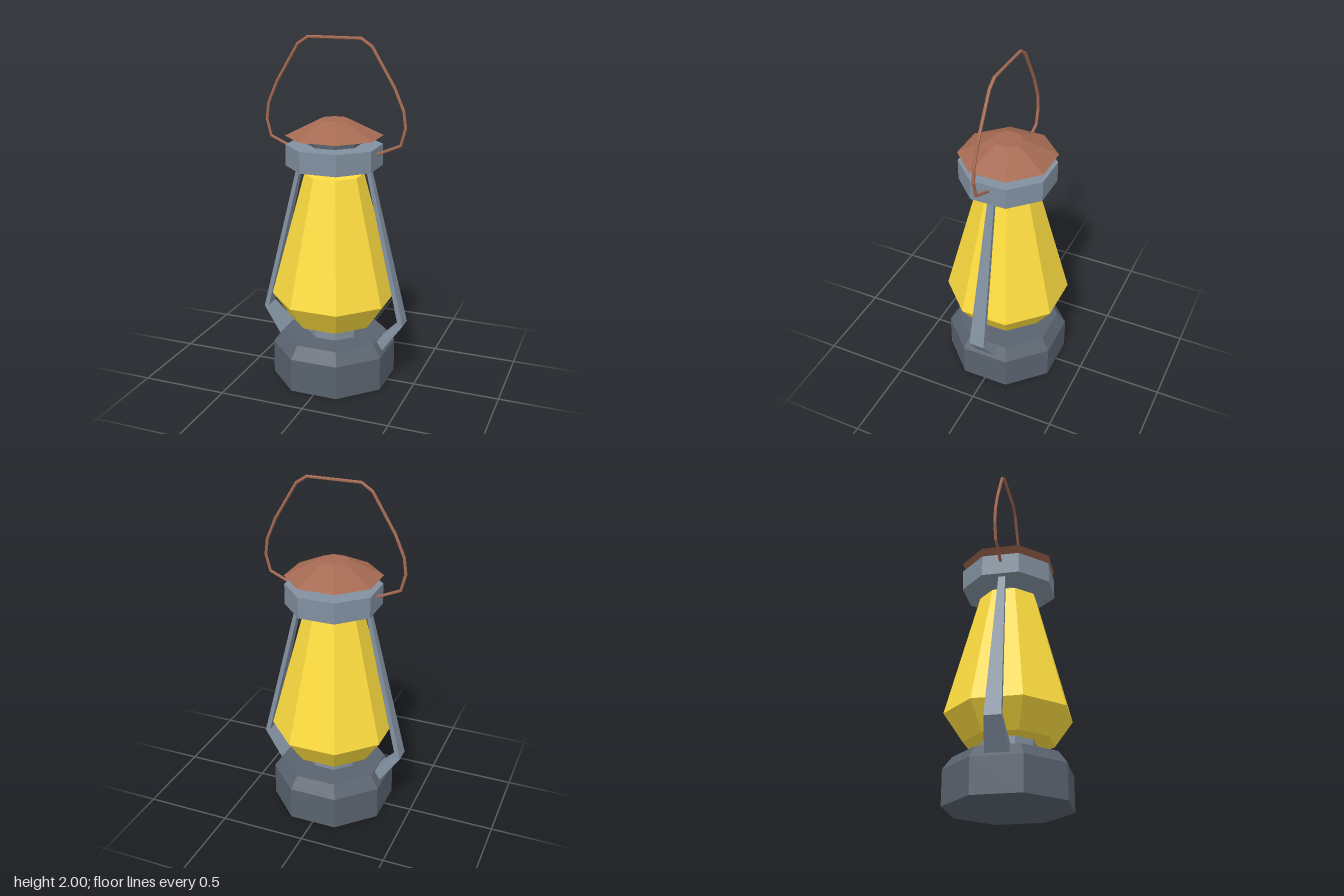
import * as THREE from 'three';

const paint = (color) => new THREE.MeshStandardMaterial({ color, flatShading: true });
const darkSteel = paint(0x59626e);
const steel = paint(0x8290a0);
const glass = paint(0xffde40);
const copper = paint(0xa56a52);

// Closed octagonal part from [apothem, y] pairs, bottom to top, flats facing the axes
function octagon(name, profile, material) {
  const pts = profile.map(([a, y]) => new THREE.Vector2(a / Math.cos(Math.PI / 8), y));
  pts.unshift(new THREE.Vector2(0, profile[0][1]));
  pts.push(new THREE.Vector2(0, profile[profile.length - 1][1]));
  const mesh = new THREE.Mesh(new THREE.LatheGeometry(pts, 8, Math.PI / 8), material);
  mesh.name = name;
  return mesh;
}

// Skin over equal-sized rings of points, counter-clockwise about the path, ends capped
function loft(name, rings, material) {
  const n = rings[0].length;
  const index = [];
  for (let r = 0; r < rings.length - 1; r++) {
    for (let i = 0; i < n; i++) {
      const a = r * n + i, b = r * n + (i + 1) % n;
      index.push(a, b, b + n, a, b + n, a + n);
    }
  }
  const last = (rings.length - 1) * n;
  for (let i = 1; i < n - 1; i++) {
    index.push(0, i + 1, i, last, last + i, last + i + 1);
  }
  const geo = new THREE.BufferGeometry();
  geo.setAttribute('position', new THREE.Float32BufferAttribute(rings.flat(2), 3));
  geo.setIndex(index);
  geo.computeVertexNormals();
  const mesh = new THREE.Mesh(geo, material);
  mesh.name = name;
  return mesh;
}

// Bent side strut: each row is outer x, outer y, inner x, inner y, half width in z
function strut(name) {
  const rows = [
    [0.322, 0.215, 0.275, 0.25, 0.066],
    [0.436, 0.375, 0.406, 0.385, 0.046],
    [0.213, 1.3, 0.19, 1.3, 0.019],
  ];
  const rings = rows.map(([ox, oy, ix, iy, w]) => [
    [ox, oy, w], [ox, oy, -w], [ix, iy, -w], [ix, iy, w],
  ]);
  return loft(name, rings, steel);
}

// Thin wire bail, mitred at each bend
function handle() {
  const half = [
    [0.235, 1.355], [0.388, 1.422], [0.413, 1.518], [0.401, 1.61],
    [0.347, 1.735], [0.217, 1.95], [0.155, 1.991],
  ];
  const path = [...half, ...half.slice().reverse().map(([x, y]) => [-x, y])]
    .map(([x, y]) => new THREE.Vector2(x, y));
  const radius = 0.009, sides = 6;
  const rings = path.map((p, i) => {
    const before = path[Math.max(i - 1, 0)], after = path[Math.min(i + 1, path.length - 1)];
    const t = p.clone().sub(before).normalize().add(after.clone().sub(p).normalize()).normalize();
    return Array.from({ length: sides }, (_, k) => {
      const a = (k / sides) * Math.PI * 2;
      const u = Math.cos(a) * radius, z = Math.sin(a) * radius;
      return [p.x + t.y * u, p.y - t.x * u, -z];
    });
  });
  return loft('handle', rings, copper);
}

export function createModel() {
  const lantern = new THREE.Group();
  lantern.name = 'lantern';
  lantern.add(
    octagon('base', [[0.334, 0], [0.334, 0.198], [0.285, 0.268]], darkSteel),
    octagon('lowerNeck', [[0.146, 0.26], [0.146, 0.37]], steel),
    octagon('globe', [[0.237, 0.358], [0.336, 0.51], [0.157, 1.233]], glass),
    octagon('upperNeck', [[0.078, 1.22], [0.078, 1.3]], steel),
    octagon('collar', [[0.254, 1.281], [0.254, 1.402]], steel),
    octagon('chimney', [[0.14, 1.39], [0.14, 1.465]], darkSteel),
    octagon('cap', [[0.256, 1.452], [0.077, 1.545]], copper),
    handle(),
  );

  // Struts: the second is the first turned half a circle
  const left = strut('leftStrut');
  const right = strut('rightStrut');
  right.rotation.y = Math.PI;
  lantern.add(left, right);
  return lantern;
}
